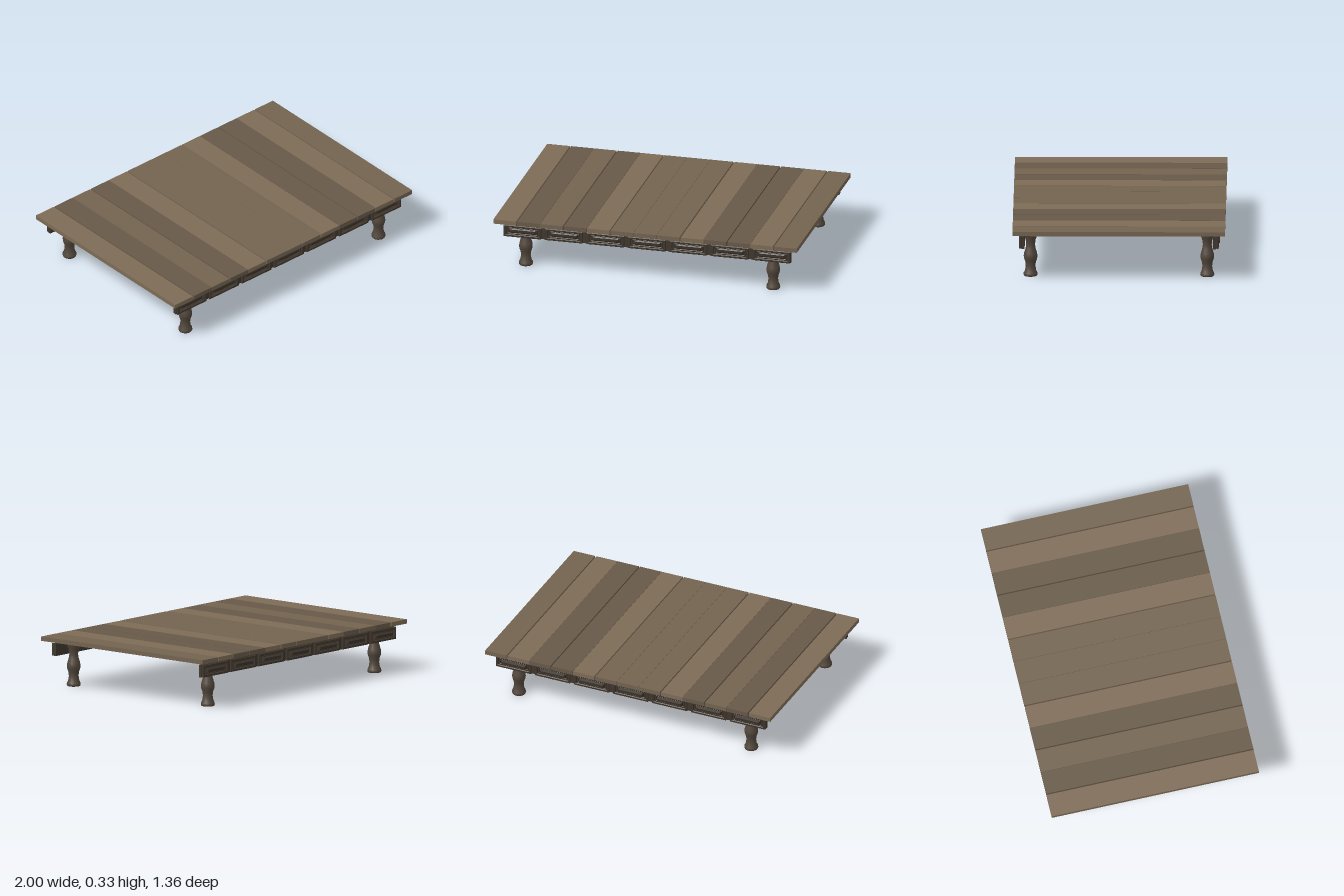
import * as THREE from 'three';

const mat = (color) => new THREE.MeshStandardMaterial({ color });

function add(parent, name, geometry, material, x = 0, y = 0, z = 0) {
  const mesh = new THREE.Mesh(geometry, material);
  mesh.name = name;
  mesh.position.set(x, y, z);
  parent.add(mesh);
  return mesh;
}

// Rectangular ring with a bevelled edge, its back lying on z = 0
function frameGeometry(w, h, border, depth) {
  const bevel = 0.003;
  const rect = (target, a, b) => target.moveTo(-a, -b).lineTo(a, -b).lineTo(a, b).lineTo(-a, b).closePath();
  const shape = rect(new THREE.Shape(), w / 2 - bevel, h / 2 - bevel);
  shape.holes.push(rect(new THREE.Path(), w / 2 - border + bevel, h / 2 - border + bevel));
  const geometry = new THREE.ExtrudeGeometry(shape, {
    depth: depth - 2 * bevel, bevelEnabled: true, bevelThickness: bevel, bevelSize: bevel, bevelSegments: 1,
  });
  return geometry.translate(0, 0, bevel);
}

// Raised field with sloping sides: a four-sided cone frustum stretched to size
function fieldGeometry(w, h, depth) {
  const geometry = new THREE.BoxGeometry(w, h, depth);
  const p = geometry.attributes.position;
  for (let i = 0; i < p.count; i++) {
    if (p.getZ(i) > 0) p.setXY(i, p.getX(i) - Math.sign(p.getX(i)) * 0.01, p.getY(i) - Math.sign(p.getY(i)) * 0.01);
  }
  geometry.computeVertexNormals();
  return geometry.translate(0, 0, depth / 2);
}

export function createModel() {
  const table = new THREE.Group();
  table.name = 'lowTable';

  const tones = { l: mat(0x7d6b56), m: mat(0x736350), d: mat(0x675948) };
  const railMat = mat(0x40372d);
  const fieldMat = mat(0x3a3229);
  const legMat = mat(0x51463b);

  // Table top: thirteen boards, every other joint slightly open
  const boards = new THREE.Group();
  boards.name = 'tableTop';
  table.add(boards);
  const order = 'ldmdlmmmlddlm';
  const pitch = 2 / 13;
  const openJoints = [1, 3, 5, 8, 10, 12];
  const gap = (joint) => (openJoints.includes(joint) ? 0.004 : joint % 13 === 0 ? 0 : 0.0008);
  for (let i = 0; i < 13; i++) {
    const x0 = -1 + i * pitch + gap(i);
    const x1 = -1 + (i + 1) * pitch - gap(i + 1);
    add(boards, 'board', new THREE.BoxGeometry(x1 - x0, 0.028, 1.355), tones[order[i]], (x0 + x1) / 2, 0.316, 0);
  }

  // Turned legs
  const profile = [
    [0, 0], [0.041, 0], [0.045, 0.008], [0.044, 0.02], [0.036, 0.035], [0.031, 0.065], [0.034, 0.09],
    [0.042, 0.113], [0.044, 0.13], [0.041, 0.15], [0.032, 0.18], [0.028, 0.205], [0.032, 0.235],
    [0.043, 0.265], [0.045, 0.28], [0.045, 0.303], [0, 0.303],
  ].map(([r, y]) => new THREE.Vector2(r, y));
  const legGeometry = new THREE.LatheGeometry(profile, 16);
  for (const x of [-0.815, 0.815]) {
    for (const z of [-0.563, 0.563]) add(table, 'leg', legGeometry, legMat, x, 0, z);
  }

  // Panelled rails along both long sides
  const frame = frameGeometry(0.246, 0.078, 0.016, 0.016);
  const moulding = frameGeometry(0.2, 0.044, 0.007, 0.009);
  for (const side of [1, -1]) {
    const rail = new THREE.Group();
    rail.name = side > 0 ? 'frontRail' : 'backRail';
    rail.position.set(0, 0.245, side * 0.6);
    if (side < 0) rail.rotation.y = Math.PI;
    table.add(rail);
    add(rail, 'railBoard', new THREE.BoxGeometry(1.89, 0.08, 0.021), railMat, 0, 0, 0.0105);
    // The back fields stand proud of their frames
    const field = fieldGeometry(0.182, 0.036, side > 0 ? 0.01 : 0.024);
    for (let i = -3; i <= 3; i++) {
      const x = i * 0.2735;
      add(rail, 'panelFrame', frame, railMat, x, 0, 0.021);
      add(rail, 'panelMoulding', moulding, railMat, x, 0, 0.021);
      add(rail, 'panelField', field, fieldMat, x, 0, 0.0205);
    }
  }

  return table;
}
